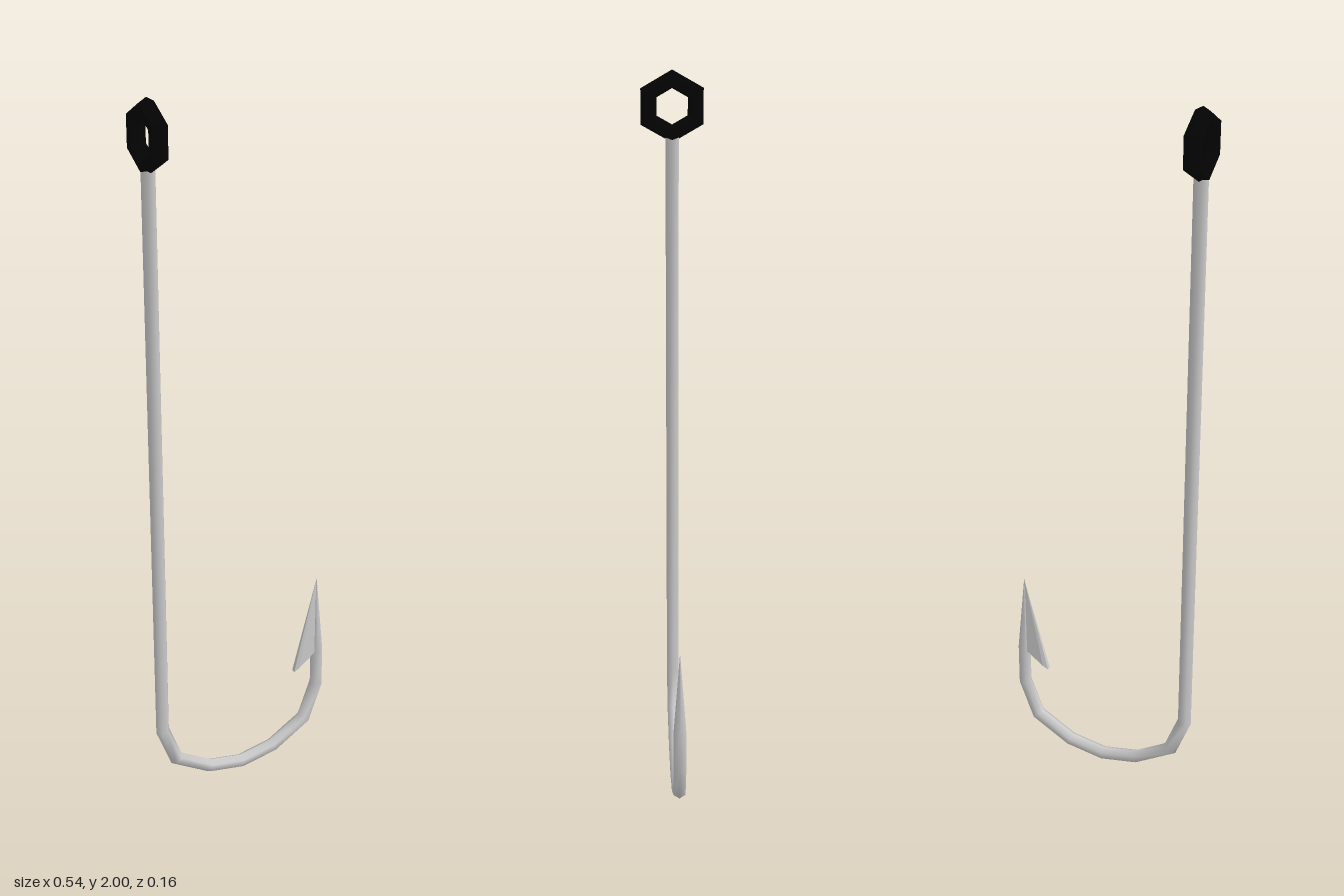
import * as THREE from 'three';
import { ConvexGeometry } from 'three/addons/geometries/ConvexGeometry.js';

const SIDES = 6;

// Hexagonal wire swept along [x, y, radius] points in the XY plane, with mitred bends.
function sweepWire(points) {
  const pos = [], index = [];
  const p = points.map(([x, y]) => new THREE.Vector2(x, y));
  p.forEach((c, i) => {
    const before = c.clone().sub(p[Math.max(i - 1, 0)]).normalize();
    const after = p[Math.min(i + 1, p.length - 1)].clone().sub(c).normalize();
    const t = before.clone().add(after).normalize();
    const isEnd = i === 0 || i === p.length - 1;
    const mitre = isEnd ? 1 : 1 / t.dot(before);
    const r = points[i][2];
    for (let k = 0; k < SIDES; k++) {
      const ang = (k / SIDES) * Math.PI * 2;
      const n = Math.cos(ang) * r * mitre;
      pos.push(c.x - t.y * n, c.y + t.x * n, Math.sin(ang) * r);
    }
    if (i === 0) return;
    for (let k = 0; k < SIDES; k++) {
      const k2 = (k + 1) % SIDES, lo = (i - 1) * SIDES, hi = i * SIDES;
      index.push(lo + k, lo + k2, hi + k2, lo + k, hi + k2, hi + k);
    }
  });
  // Cap at the start
  for (let k = 1; k < SIDES - 1; k++) index.push(0, k + 1, k);
  const g = new THREE.BufferGeometry();
  g.setAttribute('position', new THREE.Float32BufferAttribute(pos, 3));
  g.setIndex(index);
  g.computeVertexNormals();
  return g;
}

export function createModel() {
  const group = new THREE.Group();
  const steel = new THREE.MeshStandardMaterial({ color: 0xcccccc });
  const flatSteel = new THREE.MeshStandardMaterial({ color: 0xcccccc, flatShading: true });
  const black = new THREE.MeshStandardMaterial({ color: 0x030303, flatShading: true });
  const add = (name, geometry, material) => {
    const m = new THREE.Mesh(geometry, material);
    m.name = name;
    group.add(m);
    return m;
  };

  // Shank, bend and tapered point in one wire
  const r = 0.0195;
  add('shankBendAndPoint', sweepWire([
    [-0.251, 1.835, r], [-0.251, 0.215, r], [-0.21, 0.105, r], [-0.105, 0.041, r],
    [0, 0.021, r], [0.105, 0.041, r], [0.21, 0.105, r], [0.25, 0.215, r],
    [0.25, 0.33, r], [0.245, 0.57, 0.0005],
  ]), steel);

  // Barb: a thin wedge sweeping back from the point
  const barb = [[0.244, 0.565, 0]];
  for (const s of [-1, 1]) {
    barb.push([0.173, 0.277, s * 0.006], [0.187, 0.288, s * 0.01], [0.24, 0.33, s * 0.011]);
  }
  add('barb', new ConvexGeometry(barb.map((v) => new THREE.Vector3(...v))), flatSteel);

  // Six-sided line eye
  const eyeGeometry = new THREE.TorusGeometry(0.07, 0.0235, SIDES, SIDES);
  eyeGeometry.rotateZ(Math.PI / 6).rotateY(Math.PI / 2);
  add('eye', eyeGeometry, black).position.set(-0.251, 1.9065, 0);

  return group;
}
